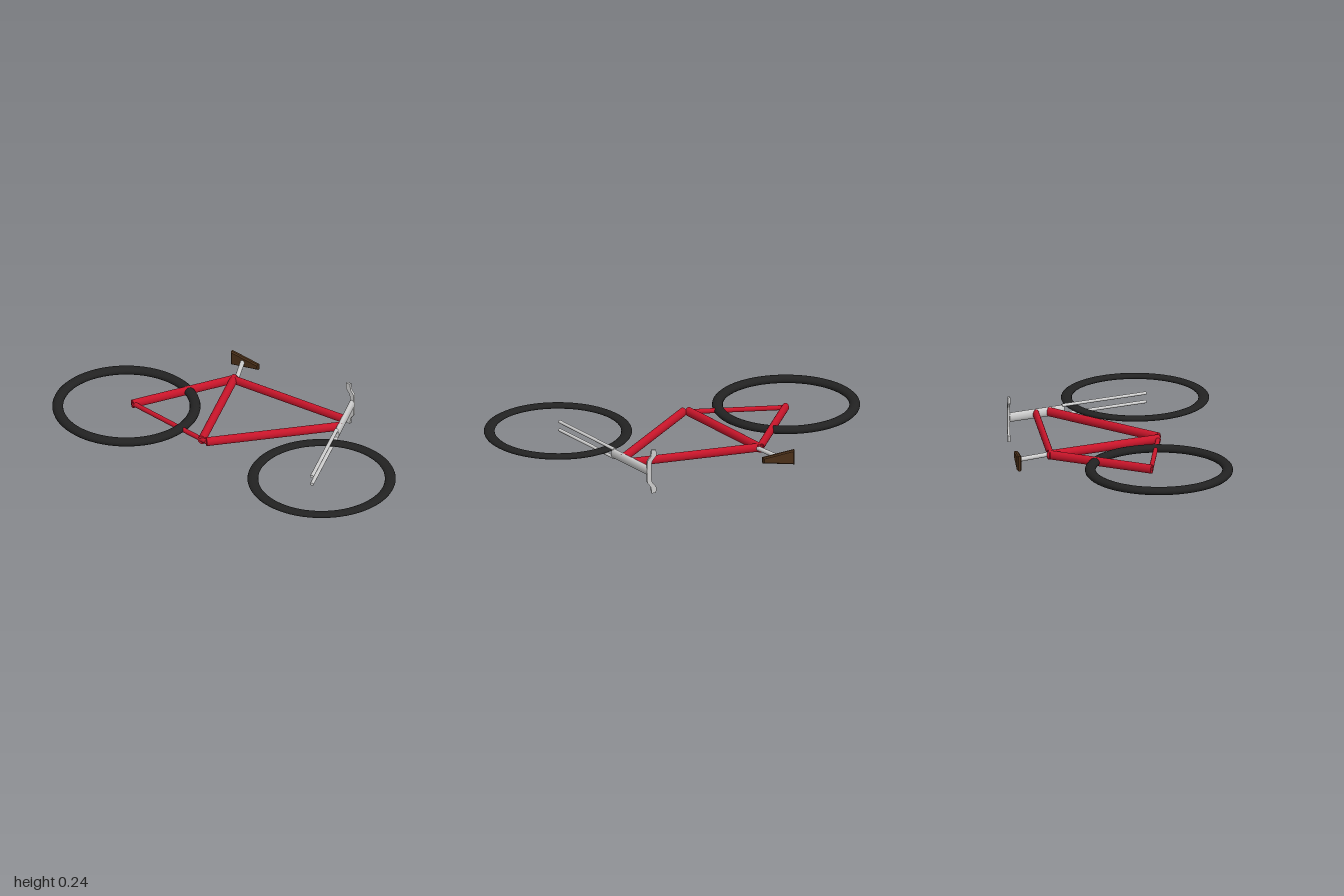
import * as THREE from 'three';

const MID = 0.123; // height of the bicycle's plane as it lies on its side
const red = new THREE.MeshStandardMaterial({ color: 0xc8152a });
const black = new THREE.MeshStandardMaterial({ color: 0x222222 });
const brown = new THREE.MeshStandardMaterial({ color: 0x4a2f18 });
const grey = new THREE.MeshStandardMaterial({ color: 0xcccccc });

export function createModel() {
  const bike = new THREE.Group();
  bike.name = 'bicycle';

  const add = (name, geometry, material, parent = bike) => {
    const mesh = new THREE.Mesh(geometry, material);
    mesh.name = name;
    parent.add(mesh);
    return mesh;
  };

  // Oval tube between two [x, z] points, with half height and half width
  const tube = (name, [x0, z0], [x1, z1], halfY, halfW, material, parent, y = MID) => {
    const length = Math.hypot(x1 - x0, z1 - z0);
    const g = new THREE.CylinderGeometry(1, 1, length, 20);
    g.rotateZ(Math.PI / 2).scale(1, halfY, halfW);
    const mesh = add(name, g, material, parent);
    mesh.position.set((x0 + x1) / 2, y, (z0 + z1) / 2);
    mesh.rotation.y = -Math.atan2(z1 - z0, x1 - x0);
  };

  // Tyres: slightly flattened rings
  const wheel = (name, x, y, halfY) => {
    const g = new THREE.TorusGeometry(0.355, 0.028, 14, 72);
    g.rotateX(Math.PI / 2).scale(1, halfY / 0.028, 1);
    add(name, g, black).position.set(x, y, 0.165);
  };
  wheel('rearWheel', -0.615, 0.123, 0.021);
  wheel('frontWheel', 0.615, 0.117, 0.014);

  // Frame
  const frame = new THREE.Group();
  frame.name = 'frame';
  bike.add(frame);
  const seatLug = [-0.31, -0.366], crank = [-0.075, 0.217], dropout = [-0.6, 0.125];
  tube('seatTube', [-0.315, -0.38], [-0.104, 0.217], 0.024, 0.021, red, frame);
  tube('downTube', [0.408, -0.31], crank, 0.024, 0.02, red, frame);
  tube('topTube', seatLug, [0.385, -0.374], 0.023, 0.017, red, frame);
  tube('seatStay', [-0.308, -0.378], [-0.602, 0.13], 0.024, 0.018, red, frame);
  tube('chainStay', dropout, crank, 0.013, 0.012, red, frame);

  // Steering column and the two fork legs
  tube('steeringColumn', [0.328, -0.52], [0.434, -0.226], 0.025, 0.015, grey);
  for (const side of [-1, 1]) {
    tube('forkLeg', [0.43, -0.234], [0.59, 0.218], 0.008, 0.01, grey, bike, MID + side * 0.023);
  }

  // Handlebar: flat bar with swept-back grips, outlined from one half mirrored
  const front = [[0.342, 0.05], [0.34, 0.062], [0.322, 0.085], [0.318, 0.12]];
  const back = [[0.294, 0.12], [0.292, 0.088], [0.314, 0.06], [0.318, 0.046]];
  const half = [...front, ...back];
  const outline = [...half, ...half.map(([x, y]) => [x, -y]).reverse()];
  const bar = new THREE.ExtrudeGeometry(
    new THREE.Shape(outline.map(([x, y]) => new THREE.Vector2(x, y + 0.121))),
    { depth: 0.013, bevelEnabled: false });
  bar.translate(0, 0, -0.528);
  add('handlebar', bar, grey);

  // Seat post and tapered saddle with chamfered edges
  tube('seatPost', [-0.372, -0.535], [-0.3, -0.375], 0.012, 0.012, grey);
  const plan = [[-0.44, -0.034], [-0.281, -0.01], [-0.281, 0.01], [-0.44, 0.034]];
  const saddle = new THREE.ExtrudeGeometry(
    new THREE.Shape(plan.map(([x, y]) => new THREE.Vector2(x, y))),
    { depth: 0.011, bevelThickness: 0.007, bevelSize: 0.006, bevelSegments: 1 });
  add('saddle', saddle, brown).position.set(0, MID, -0.548);

  return bike;
}
